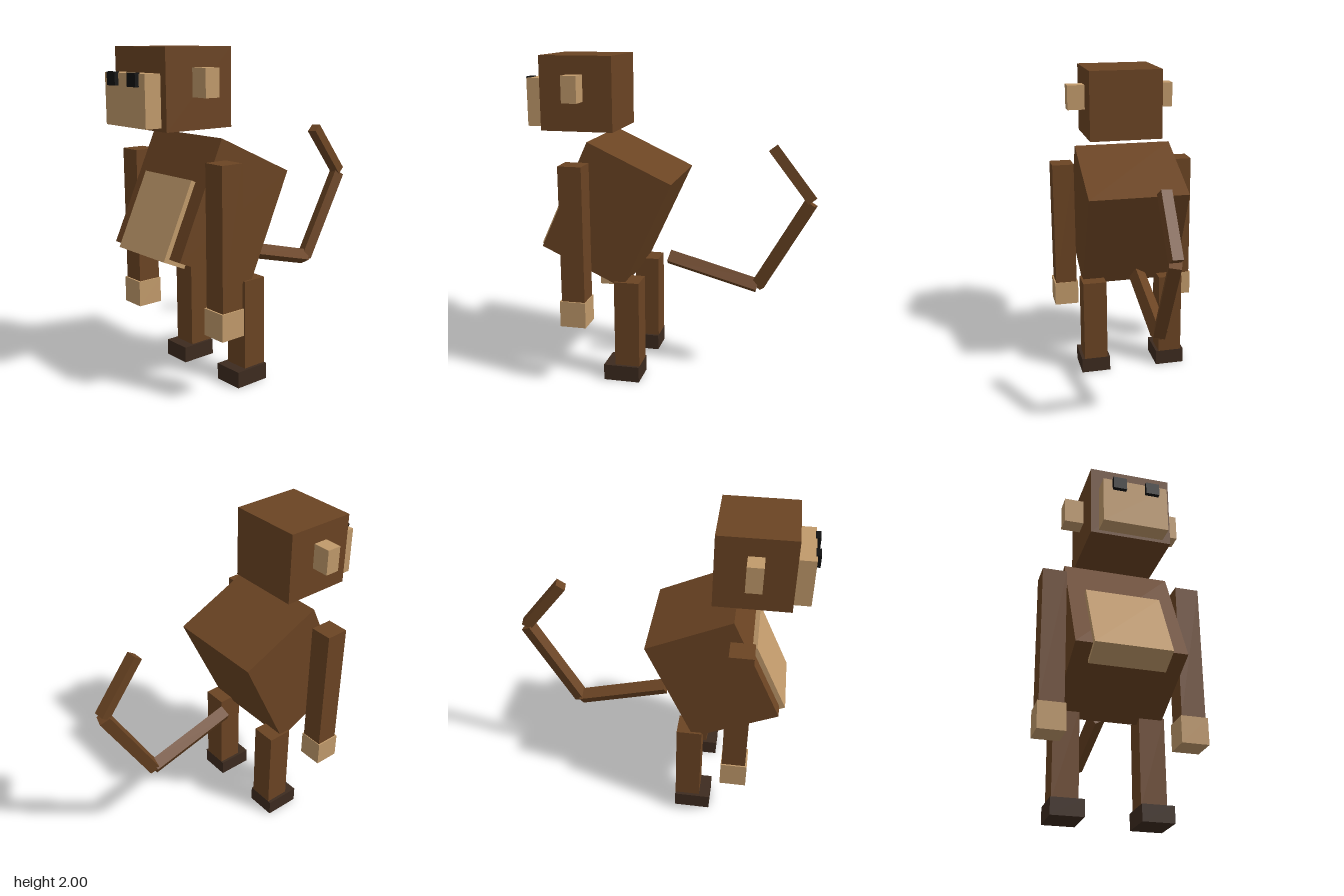
import * as THREE from 'three';

const mat = (color) => new THREE.MeshStandardMaterial({ color });

export function createModel() {
  const model = new THREE.Group();
  model.name = 'monkey';
  const fur = mat(0x6b4423), skin = mat(0xc19a6b), dark = mat(0x3d2b1f), black = mat(0x111111);

  // Box from its size and centre
  function box(name, material, size, centre, parent = model) {
    const mesh = new THREE.Mesh(new THREE.BoxGeometry(...size), material);
    mesh.name = name;
    mesh.position.set(...centre);
    parent.add(mesh);
    return mesh;
  }

  // Forward-leaning torso and belly patch
  const lean = THREE.MathUtils.degToRad(-24.8);
  box('torso', fur, [0.64, 0.725, 0.563], [0, 1.055, 0.355]).rotation.x = lean;
  box('belly', skin, [0.445, 0.48, 0.154], [0, 1.02, 0.63]).rotation.x = lean;

  // Head and face
  const head = new THREE.Group();
  head.name = 'head';
  model.add(head);
  box('skull', fur, [0.48, 0.45, 0.452], [0, 1.775, 0.548], head);
  box('face', skin, [0.385, 0.29, 0.12], [0, 1.715, 0.815], head);

  // Paired parts
  for (const [side, s] of [['left', 1], ['right', -1]]) {
    box(side + 'Eye', black, [0.08, 0.075, 0.03], [s * 0.098, 1.828, 0.883], head);
    box(side + 'Ear', skin, [0.115, 0.16, 0.094], [s * 0.297, 1.81, 0.55], head);
    box(side + 'Arm', fur, [0.142, 0.83, 0.144], [s * 0.404, 0.965, 0.517]);
    box(side + 'Hand', skin, [0.16, 0.16, 0.16], [s * 0.404, 0.47, 0.52]);
    box(side + 'Leg', fur, [0.155, 0.545, 0.156], [s * 0.257, 0.3725, 0.225]);
    box(side + 'Foot', dark, [0.192, 0.1, 0.225], [s * 0.258, 0.05, 0.259]);
  }

  // Tail: three rolled bars, each from its front end to its back end (y, z)
  const tail = new THREE.Group();
  tail.name = 'tail';
  model.add(tail);
  const bars = [
    { front: [0.727, 0.029], back: [0.573, -0.54], side: 0.076, roll: 31 },
    { front: [0.573, -0.54], back: [1.125, -0.854], side: 0.07, roll: 17 },
    { front: [1.454, -0.615], back: [1.138, -0.86], side: 0.065, roll: 9 },
  ];
  bars.forEach(({ front, back, side, roll }, i) => {
    const a = new THREE.Vector3(0, ...front), b = new THREE.Vector3(0, ...back);
    const centre = a.clone().add(b).multiplyScalar(0.5);
    const bar = box('tailSegment' + (i + 1), fur, [side, side, a.distanceTo(b)], centre.toArray(), tail);
    bar.lookAt(a);
    bar.rotateZ(THREE.MathUtils.degToRad(roll));
  });

  return model;
}
